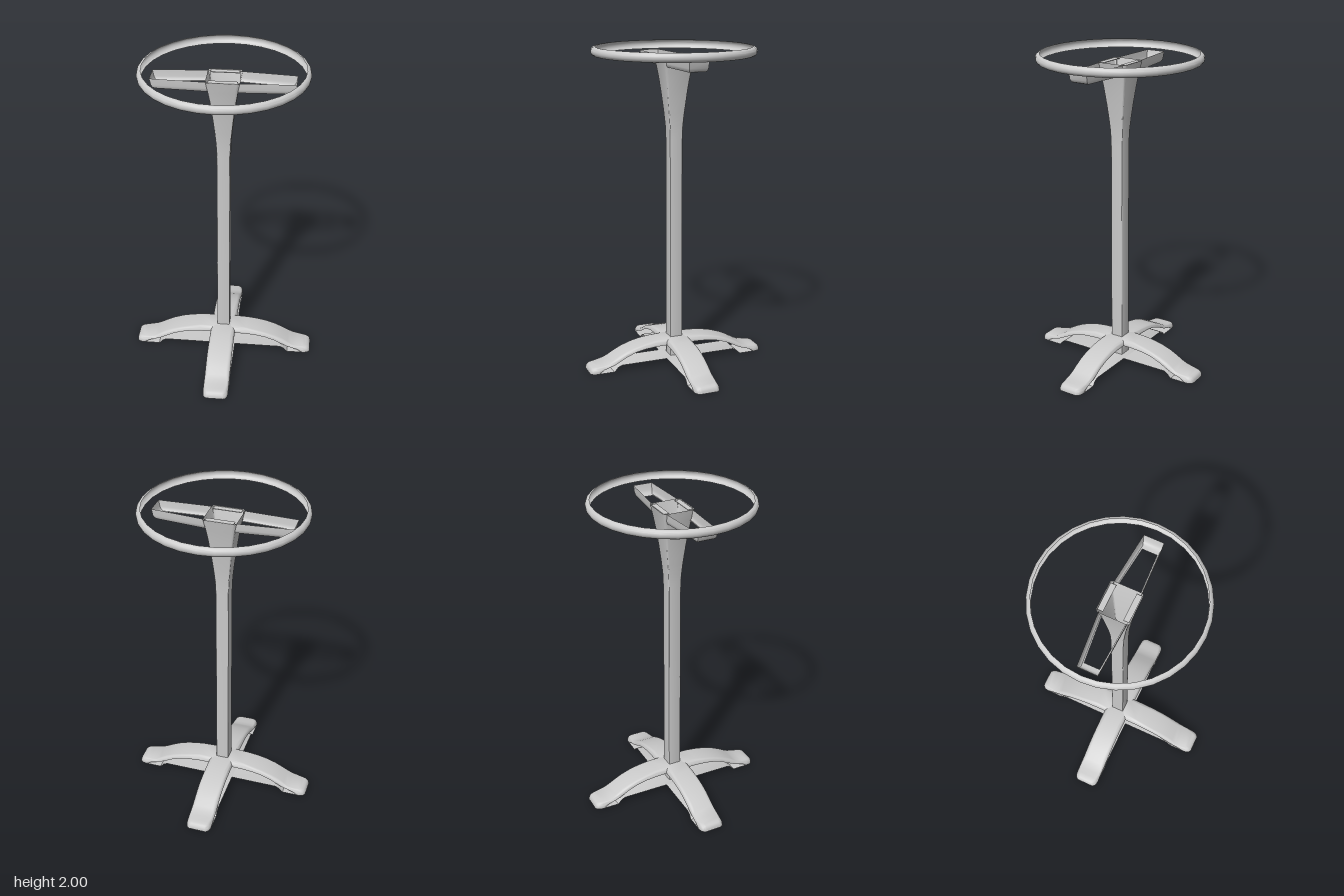
import * as THREE from 'three';
import { toCreasedNormals } from 'three/addons/utils/BufferGeometryUtils.js';

const material = new THREE.MeshStandardMaterial({ color: 0xcccccc, side: THREE.DoubleSide });

function addMesh(parent, geometry, name, crease = 0.6) {
  const mesh = new THREE.Mesh(toCreasedNormals(geometry, crease), material);
  mesh.name = name;
  parent.add(mesh);
  return mesh;
}

// Skin a surface over a row of cross-sections
function loft(rings, closed = false) {
  const n = rings[0].length, index = [];
  const spans = closed ? n : n - 1;
  for (let i = 0; i < rings.length - 1; i++) {
    for (let j = 0; j < spans; j++) {
      const k = (j + 1) % n;
      const a = i * n + j, b = i * n + k, c = b + n, d = a + n;
      index.push(a, b, c, a, c, d);
    }
  }
  const geometry = new THREE.BufferGeometry();
  geometry.setAttribute('position', new THREE.Float32BufferAttribute(rings.flat(2), 3));
  geometry.setIndex(index);
  return geometry;
}

// Rounded square, counter-clockwise seen from above
function roundedSquare(half, radius, y) {
  const points = [];
  for (let q = 0; q < 4; q++) {
    const mid = (q + 0.5) * Math.PI / 2;
    const cx = Math.sign(Math.cos(mid)) * (half - radius);
    const cz = -Math.sign(Math.sin(mid)) * (half - radius);
    for (let s = 0; s <= 3; s++) {
      const t = (q + s / 3) * Math.PI / 2;
      points.push([cx + radius * Math.cos(t), y, cz - radius * Math.sin(t)]);
    }
  }
  return points;
}

// Arched leg section: side wall, rounded shoulder, flat top and back down
function legSection(x, top, bottom, w) {
  const r = Math.min(0.03, (top - bottom) * 0.85), steps = 5;
  const half = [[w, bottom]];
  for (let s = 0; s <= steps; s++) {
    const t = s / steps * Math.PI / 2;
    half.push([w - r + r * Math.cos(t), top - r + r * Math.sin(t)]);
  }
  return [
    ...half.map(([z, y]) => [x, y, -z]),
    ...half.reverse().map(([z, y]) => [x, y, z]),
  ];
}

// Mirror half a row of stations about x = 0
const mirrorStations = (rows) =>
  [...rows.slice().reverse().map(([x, ...rest]) => [-x, ...rest]), ...rows];

function createLegPair() {
  const pair = new THREE.Group();
  // x, top, lower edge, half width
  const stations = mirrorStations([
    [0.06, 0.165, 0.13, 0.08], [0.15, 0.16, 0.128, 0.08], [0.22, 0.149, 0.122, 0.08],
    [0.28, 0.135, 0.11, 0.08], [0.34, 0.115, 0.088, 0.08], [0.39, 0.092, 0.062, 0.08],
    [0.43, 0.068, 0.042, 0.08], [0.46, 0.052, 0.033, 0.08], [0.495, 0.045, 0.022, 0.08],
    [0.53, 0.042, 0, 0.08], [0.55, 0.039, 0, 0.078], [0.565, 0.034, 0, 0.072],
    [0.574, 0.026, 0, 0.063], [0.578, 0.014, 0, 0.056], [0.579, 0, 0, 0.052],
  ]);
  addMesh(pair, loft(stations.map((s) => legSection(...s))), 'archedLegs', 0.9);

  // Thin plate under the arch, stepping down to the feet
  const plate = mirrorStations([
    [0.38, 0.038, 0.08], [0.405, 0.026, 0.08], [0.42, 0.008, 0.08], [0.43, 0, 0.08],
    [0.545, 0, 0.079], [0.568, 0, 0.07], [0.578, 0, 0.052],
  ]);
  addMesh(pair, loft(plate.map(([x, y, w]) => [[x, y, w], [x, y, -w]])), 'underPlate');
  return pair;
}

export function createModel() {
  const model = new THREE.Group();
  model.name = 'pedestalTableFrame';

  // Crossed base
  const base = new THREE.Group();
  base.name = 'crossBase';
  for (let i = 0; i < 2; i++) {
    const pair = createLegPair();
    pair.name = i ? 'frontBackLegs' : 'sideLegs';
    pair.rotation.y = i * Math.PI / 2;
    base.add(pair);
  }
  model.add(base);

  // Hollow square column flaring out at the top: y, half width, corner radius
  const column = [
    [0.038, 0.04, 0.004], [1.43, 0.04, 0.004], [1.52, 0.043, 0.005], [1.6, 0.05, 0.006],
    [1.7, 0.061, 0.008], [1.8, 0.074, 0.011], [1.88, 0.087, 0.014], [1.947, 0.1, 0.017],
  ];
  addMesh(model, loft(column.map(([y, h, r]) => roundedSquare(h, r, y)), true), 'column');

  for (const s of [1, -1]) {
    // Inner lip in the mouth of the column
    const lip = addMesh(model, new THREE.BoxGeometry(0.17, 0.004, 0.034), 'columnLip');
    lip.position.set(0, 1.943, s * 0.077);

    // Support arm: a tapered frame of sloping walls, open above and below
    // y, inner half width, inset from the rim, outer end
    const rows = [
      [1.882, 0.016, 0.368], [1.882, 0.01, 0.392], [1.889, 0.005, 0.405],
      [1.905, 0.002, 0.414], [1.945, 0, 0.422],
    ];
    const rings = rows.map(([y, inset, end]) => {
      const ring = [
        [s * 0.088, y, 0.085 - inset], [s * end, y, 0.07 - inset],
        [s * end, y, -0.052 + inset], [s * 0.088, y, -0.082 + inset],
      ];
      return s > 0 ? ring : ring.reverse();
    });
    addMesh(model, loft(rings), s > 0 ? 'leftArm' : 'rightArm');
  }

  // Round edge band, half-round on the outside
  const rim = [];
  for (let i = 0; i <= 10; i++) {
    const t = (i / 10 - 0.5) * Math.PI;
    rim.push(new THREE.Vector2(0.475 + 0.026 * Math.cos(t), 1.9725 + 0.0275 * Math.sin(t)));
  }
  addMesh(model, new THREE.LatheGeometry(rim, 32), 'rimBand');

  return model;
}
